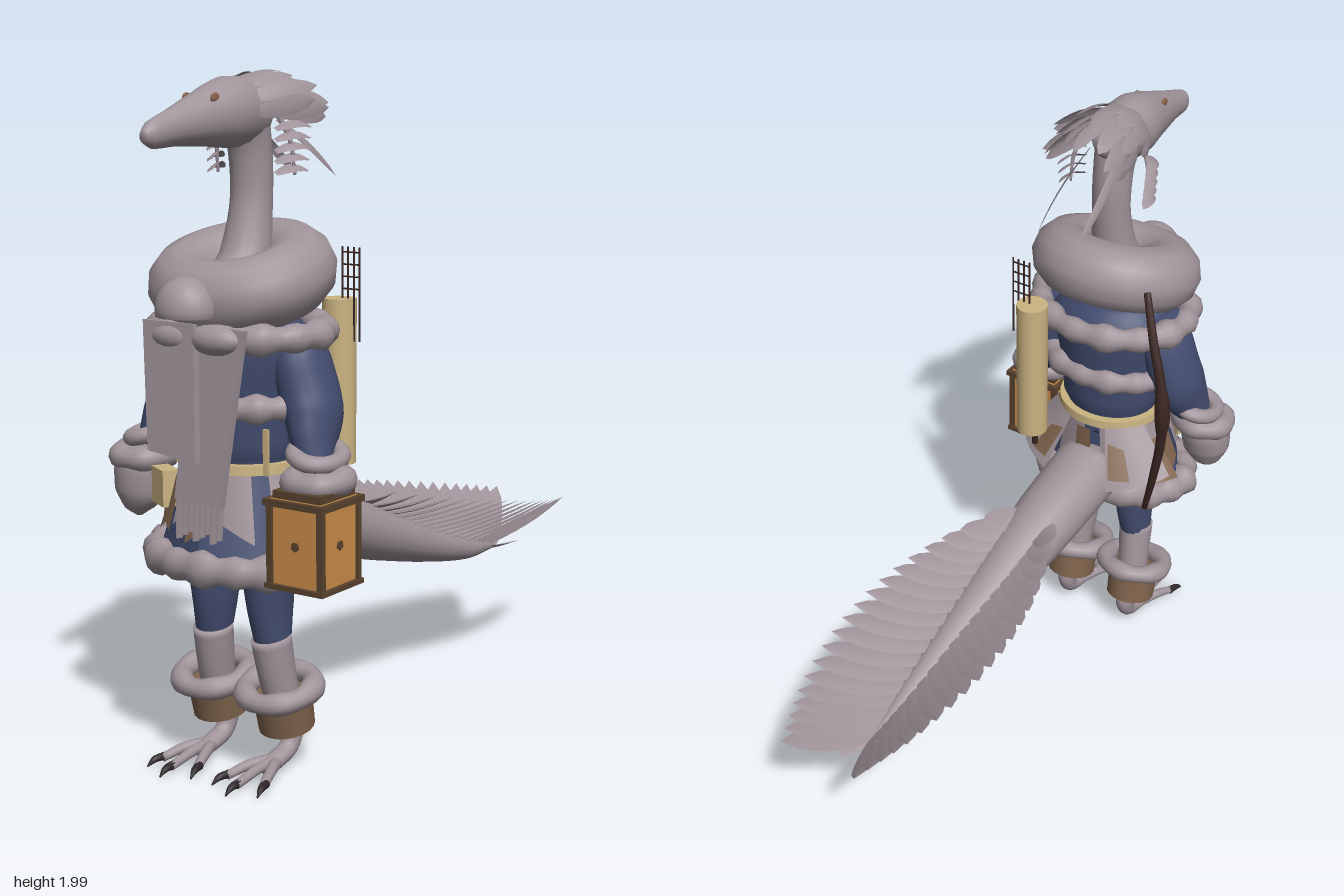
import * as THREE from 'three';
import { mergeVertices } from 'three/addons/utils/BufferGeometryUtils.js';

const V = (x, y, z) => new THREE.Vector3(x, y, z);
const mat = (name, color, side = THREE.FrontSide) => {
  const m = new THREE.MeshStandardMaterial({ color, side });
  m.name = name;
  return m;
};

// Smooth limb through stations [x, y, z, half width, half depth]
function sweep(pts, seg = 18, sub = 5) {
  const path = new THREE.CatmullRomCurve3(pts.map(p => V(p[0], p[1], p[2])));
  const size = new THREE.CatmullRomCurve3(pts.map(p => V(p[3], p[4] ?? p[3], 0)));
  const n = (pts.length - 1) * sub, pos = [], idx = [];
  for (let i = 0; i <= n; i++) {
    const t = i / n, c = path.getPoint(t), r = size.getPoint(t), T = path.getTangent(t);
    const S = V(1, 0, 0).addScaledVector(T, -T.x).normalize(), N = T.clone().cross(S);
    for (let j = 0; j < seg; j++) {
      const a = j / seg * Math.PI * 2;
      const p = c.clone().addScaledVector(S, Math.cos(a) * r.x).addScaledVector(N, Math.sin(a) * r.y);
      pos.push(p.x, p.y, p.z);
      if (i < n) {
        const k = (j + 1) % seg, b = i * seg;
        idx.push(b + j, b + k, b + seg + k, b + j, b + seg + k, b + seg + j);
      }
    }
  }
  const s = pts[0], e = pts[pts.length - 1], m = pos.length / 3;
  pos.push(s[0], s[1], s[2], e[0], e[1], e[2]);
  for (let j = 0; j < seg; j++) {
    const k = (j + 1) % seg;
    idx.push(m, k, j, m + 1, n * seg + j, n * seg + k);
  }
  return build(pos, idx);
}

function build(pos, idx) {
  const g = new THREE.BufferGeometry();
  g.setAttribute('position', new THREE.Float32BufferAttribute(pos, 3));
  g.setIndex(idx);
  g.computeVertexNormals();
  return g;
}

// Lumpy oval ring lying flat, for fur trims and the cowl
function ring(rx, rz, r, lumps = 0, amount = 0.15) {
  const g = new THREE.TorusGeometry(rx, r, 12, 64), p = g.attributes.position;
  for (let i = 0; i < p.count; i++) {
    const a = Math.atan2(p.getY(i), p.getX(i)), cx = rx * Math.cos(a), cy = rx * Math.sin(a);
    const q = lumps ? 1 + amount * Math.sin(lumps * a) + amount * 0.6 * Math.sin((lumps >> 1) * a + 1) : 1;
    p.setXYZ(i, cx + (p.getX(i) - cx) * q, (cy + (p.getY(i) - cy) * q) * (rz + r) / (rx + r), p.getZ(i) * q);
  }
  g.rotateX(-Math.PI / 2).deleteAttribute('uv').deleteAttribute('normal');
  const m = mergeVertices(g);
  m.computeVertexNormals();
  return m;
}

// Curved feather from root to tip, facing along the given normal
function leaf(root, tip, normal, width, bow = 0.015) {
  const d = tip.clone().sub(root).normalize(), side = normal.clone().cross(d).normalize();
  const pos = [], idx = [], n = 7;
  for (let i = 0; i <= n; i++) {
    const t = i / n, w = width * Math.pow(Math.sin(Math.PI * (0.08 + 0.92 * t)), 0.6) * 0.5;
    const c = root.clone().lerp(tip, t).addScaledVector(normal, bow * Math.sin(Math.PI * t));
    for (const k of [-1, 0, 1]) {
      const p = c.clone().addScaledVector(side, k * w).addScaledVector(normal, k ? 0 : w * 0.2);
      pos.push(p.x, p.y, p.z);
    }
    if (i < n) for (const k of [0, 1]) {
      const a = i * 3 + k;
      idx.push(a, a + 1, a + 4, a, a + 4, a + 3);
    }
  }
  return build(pos, idx);
}

// Curved cloth panel following the coat skirt
function skirtPanel(a0, a1, y0, y1, off, slant = 0, flare = 0) {
  const g = new THREE.PlaneGeometry(1, 1, 8, 4), p = g.attributes.position;
  for (let i = 0; i < p.count; i++) {
    const u = p.getX(i) + 0.5, v = p.getY(i) + 0.5, a = a0 + (a1 - a0) * u;
    const y = y0 + (y1 - y0) * v + slant * (u - 0.5) * (1 - v), h = (0.92 - y) / 0.27, o = off + flare * (1 - v);
    p.setXYZ(i, (0.167 + 0.085 * h + o) * Math.sin(a), y, 0.57 + 0.03 * h + (0.155 + 0.03 * h + o) * Math.cos(a));
  }
  g.computeVertexNormals();
  return g;
}

export function createModel() {
  const root = new THREE.Group();
  const grey = mat('plumage and fur grey', 0xa0949a), feather = mat('feather grey', 0x9f9399, THREE.DoubleSide);
  const blue = mat('coat blue', 0x434d70, THREE.DoubleSide), tan = mat('tan leather', 0xcbb482);
  const brown = mat('brown leather', 0x80644d, THREE.DoubleSide), dark = mat('dark wood', 0x3b2622);
  const amber = mat('lantern amber', 0xcc8e4a), frame = mat('lantern frame', 0x59422f), claw = mat('claw black', 0x2f272b);
  const eye = mat('eye rust', 0x8a624d);
  const add = (name, geo, material, x = 0, y = 0, z = 0, rx = 0, ry = 0, rz = 0) => {
    const m = new THREE.Mesh(geo, material);
    m.name = name;
    m.position.set(x, y, z);
    m.rotation.set(rx, ry, rz);
    root.add(m);
    return m;
  };

  // Head and neck
  add('head', sweep([[0, 1.89, .45, .03], [0, 1.885, .52, .075, .085], [0, 1.882, .62, .088, .098], [0, 1.866, .74, .066, .075],
    [0, 1.846, .86, .04, .05], [0, 1.83, .94, .028, .037], [0, 1.825, .97, .012, .016]]), grey);
  add('neck', sweep([[0, 1.35, .6, .13], [0, 1.48, .55, .075], [0, 1.65, .52, .06], [0, 1.78, .525, .062], [0, 1.88, .55, .07]]), grey);
  for (const s of [1, -1]) {
    add('eye', new THREE.SphereGeometry(.016, 12, 8), eye, s * .049, 1.922, .735).scale.set(.35, .9, 1.2);
    for (let i = 0; i < 5; i++) { // cheek tassel
      add('tasselFeather', leaf(V(s * .115, 1.835 - i * .03, .56), V(s * (.16 - i * .003), 1.84 - i * .03, .45), V(s * .5, .85, 0).normalize(), .04), feather);
    }
    add('tasselStrand', sweep([[s * .1, 1.88, .53, .008], [s * .13, 1.8, .51, .007], [s * .135, 1.71, .5, .004]], 6), grey);
    add('plume', leaf(V(s * .05, 1.86, .47), V(s * .07, 1.69, .21), V(s * .9, .35, -.25).normalize(), .03, .01), feather);
  }
  // Crest, in three overlapping rows
  for (let row = 0; row < 3; row++) for (let i = -3; i <= 3; i++) {
    const a = i * .5, sx = Math.sin(a), cy = Math.cos(a), reach = (i + 3 + row) % 2 * .04;
    add('crestFeather', leaf(V(.075 * sx, 1.875 + .085 * cy, .6 - row * .06), V((.15 - row * .015) * sx, 1.91 + .08 * cy - row * .025, .42 - row * .045 - reach),
      V(sx, cy, 0), .055, .012), feather);
  }

  // Torso, cowl and fur trims
  add('jacket', sweep([[0, .86, .57, .165, .15], [0, .95, .57, .165, .15], [0, 1.1, .57, .18, .165], [0, 1.25, .57, .205, .18], [0, 1.34, .57, .15, .13]], 28), blue);
  add('cowl', ring(.168, .155, .105), grey, 0, 1.43, .565, .3);
  add('collarFur', ring(.245, .2, .04, 14), grey, 0, 1.28, .565);
  add('chestFur', ring(.21, .165, .036, 14), grey, 0, 1.085, .575);
  add('hemFur', ring(.255, .175, .046, 16), grey, 0, .635, .6);
  add('belt', new THREE.CylinderGeometry(.176, .178, .028, 32), tan, 0, .908, .57).scale.z = .93;
  for (const s of [1, -1]) add('beltStrap', new THREE.BoxGeometry(.016, .13, .01), tan, s * .155, .96, .665);
  const knot = new THREE.SphereGeometry(1, 24, 16), kp = knot.attributes.position;
  for (let i = 0; i < kp.count; i++) kp.setY(i, Math.max(kp.getY(i), -.2));
  knot.computeVertexNormals();
  add('scarfKnot', knot, grey, 0, 1.36, .81).scale.set(.09, .09, .08);
  for (const s of [1, -1]) add('knotFold', new THREE.SphereGeometry(1, 18, 12), grey, s * .07, 1.28, .77).scale.set(.09, .045, .05);

  // Hanging scarf ends
  const cloth = (name, corners, z, tilt) => {
    const g = new THREE.ExtrudeGeometry(new THREE.Shape(corners.map(c => new THREE.Vector2(c[0], c[1] - 1.3))), { depth: .022, bevelEnabled: false });
    add(name, g, grey, 0, 1.3, z, tilt);
  };
  cloth('scarfEndFront', [[-.16, 1.32], [-.13, .96], [.04, .94], [.02, 1.32]], .785, -.07);
  cloth('scarfEndBack', [[0, 1.32], [-.05, .83], [.11, .82], [.17, 1.31]], .76, -.07);
  for (let i = 0; i < 8; i++) {
    const x = -.045 + i * .02;
    cloth('fringe', [[x, .835], [x + .004, .72 + (i % 3) * .012], [x + .011, .72 + (i % 3) * .012], [x + .013, .835]], .76, -.07);
  }

  // Coat skirt with patches
  add('skirt', skirtPanel(0, Math.PI * 2, .64, .92, 0), blue);
  for (let i = 0; i < 8; i++) {
    const a = i * Math.PI / 4 + .25;
    add('skirtPanel', skirtPanel(a, a + .5, .74 + (i % 2) * .03, .895, .006, i % 2 ? .07 : -.06), feather);
    if (i !== 0) add('skirtPatch', skirtPanel(a + .35, a + .62, .72, .84 + (i % 2) * .04, .011, .04), brown);
  }
  add('frontPatch', skirtPanel(-.98, -.5, .745, .87, .016, -.05), brown);
  for (const s of [1, -1]) {
    const m = s * 2.4;
    add('coatTail', skirtPanel(m - .38, m + .38, .73, .9, .008, s * -.05, .085), feather);
    add('coatTailPatch', skirtPanel(m - s * .36 - .16, m - s * .36 + .16, .73, .85, .02, 0, .06), brown);
    add('coatTailPatch', skirtPanel(m + s * .22 - .12, m + s * .22 + .12, .75, .85, .03, 0, .06), brown);
  }
  add('pouch', new THREE.BoxGeometry(.09, .105, .05), tan, -.18, .83, .7, 0, -.5);

  // Arms, cuffs and mittens
  for (const s of [1, -1]) {
    add('sleeve', sweep([[s * .17, 1.3, .56, .06], [s * .2, 1.2, .56, .078, .095], [s * .24, 1.08, .565, .08, .098], [s * .265, 1.0, .595, .062, .082], [s * .29, .92, .63, .046]]), blue);
    add('upperCuff', ring(.062, .075, .024), grey, s * .295, .965, .615, .15, 0, s * -.25);
    add('lowerCuff', ring(.068, .07, .036, 5, .08), grey, s * .31, .9, .635, .1);
  }
  add('rightMitten', sweep([[-.31, .92, .64, .05], [-.315, .86, .645, .082, .08], [-.32, .79, .65, .077, .07], [-.325, .74, .65, .045], [-.325, .715, .65, .01]]), grey);
  add('leftMitten', sweep([[.305, .93, .64, .05], [.305, .88, .645, .075], [.3, .84, .65, .06]]), grey);
  add('leftThumb', sweep([[.24, .86, .65, .025], [.215, .76, .65, .03], [.23, .67, .65, .025], [.235, .64, .65, .008]]), grey);

  // Lantern
  const lx = .315, lz = .663;
  add('lanternGlass', new THREE.BoxGeometry(.17, .24, .17), amber, lx, .74, lz);
  for (const [y, w, h] of [[.617, .195, .014], [.85, .2, .018], [.87, .16, .022]]) add('lanternPlate', new THREE.BoxGeometry(w, h, w), frame, lx, y, lz);
  for (const i of [-1, 1]) for (const j of [-1, 1]) add('lanternPost', new THREE.BoxGeometry(.018, .23, .018), frame, lx + i * .084, .735, lz + j * .084);
  for (let i = 0; i < 4; i++) {
    const a = i * Math.PI / 2;
    add('lanternStar', new THREE.CylinderGeometry(.014, .014, .004, 5), frame, lx + Math.sin(a) * .087, .735, lz + Math.cos(a) * .087, Math.PI / 2, 0, -a);
  }
  add('lanternHandle', new THREE.TorusGeometry(.05, .007, 8, 20, Math.PI), frame, lx, .87, lz);

  // Legs and clawed feet
  for (const s of [1, -1]) {
    add('trouserLeg', sweep([[s * .1, .74, .57, .085], [s * .1, .62, .585, .072, .09], [s * .1, .5, .582, .06, .08], [s * .108, .38, .58, .05, .055]]), blue);
    add('shin', sweep([[s * .106, .405, .587, .056, .064], [s * .112, .3, .57, .052, .06], [s * .12, .18, .545, .05]]), grey);
    add('ankleFur', ring(.1, .1, .032, 5, .08), grey, s * .118, .25, .565, .22);
    add('ankleWrap', new THREE.CylinderGeometry(.087, .082, .11, 20), brown, s * .122, .182, .547, .2);
    add('foot', sweep([[s * .12, .17, .535, .04], [s * .12, .11, .505, .032], [s * .12, .06, .525, .028], [s * .12, .035, .6, .03, .024], [s * .12, .025, .64, .02]]), grey);
    for (const k of [-1, 0, 1]) {
      const x = s * .12, e = k * .065, z = .77 - Math.abs(k) * .04;
      add('toe', sweep([[x, .035, .58, .02], [x + e * .6, .038, .66, .016], [x + e, .022, z, .013]], 10), grey);
      add('claw', sweep([[x + e, .024, z - .01, .013], [x + e * 1.15, .022, z + .025, .01], [x + e * 1.25, .006, z + .05, .002]], 8), claw);
    }
  }

  // Tail with two raised fans of feathers
  const tailPts = [[0, .71, .47, .12, .11], [.01, .648, .2, .112, .105], [.03, .56, -.05, .09, .085], [.05, .475, -.3, .06, .06], [.06, .405, -.55, .036, .036], [.06, .378, -.72, .01, .01]];
  add('tail', sweep(tailPts), grey);
  const tail = new THREE.CatmullRomCurve3(tailPts.map(p => V(p[0], p[1], p[2])));
  for (const s of [1, -1]) {
    for (let i = 0; i < 19; i++) {
      const t = i / 18, r = tail.getPoint(.26 + .71 * t), w = .115 + .02 * t + .135 * Math.sin(Math.PI * Math.pow(t, .8));
      const z = r.z - .14 - .15 * t, tip = V(r.x + s * w, .725 - .2 * (.05 - z), z);
      const from = V(r.x + s * .03 * (1 - t), r.y + .065 * (1 - t), r.z);
      add('tailFeather', leaf(from, tip, V(-s * .55, .82, .12).normalize(), .085, -.012), feather);
    }
    add('lowTailFeather', leaf(V(.06, .405, -.56), V(.06 + s * .04, .375, -.84), V(-s * .4, .9, 0).normalize(), .06, -.01), feather);
  }

  // Quiver with arrows
  add('quiver', new THREE.CylinderGeometry(.05, .05, .48, 20), tan, .155, 1.112, .318, -.01);
  for (let i = 0; i < 4; i++) add('arrow', new THREE.CylinderGeometry(.003, .003, .27, 6), dark, .165 + i * .02, 1.365, .315);
  for (let i = 0; i < 4; i++) add('arrowBinding', new THREE.CylinderGeometry(.0025, .0025, .06, 6), dark, .195, 1.38 + i * .035, .315, 0, 0, Math.PI / 2);
  add('quiverTip', new THREE.CylinderGeometry(.012, .01, .08, 8), dark, .15, .845, .33);

  // Bow slung on the back
  add('bow', sweep([[-.21, 1.48, .39, .011], [-.265, 1.34, .345, .014], [-.31, 1.2, .325, .016], [-.32, 1.03, .325, .016], [-.29, .85, .345, .014], [-.25, .68, .37, .01]], 10), dark);
  return root;
}
